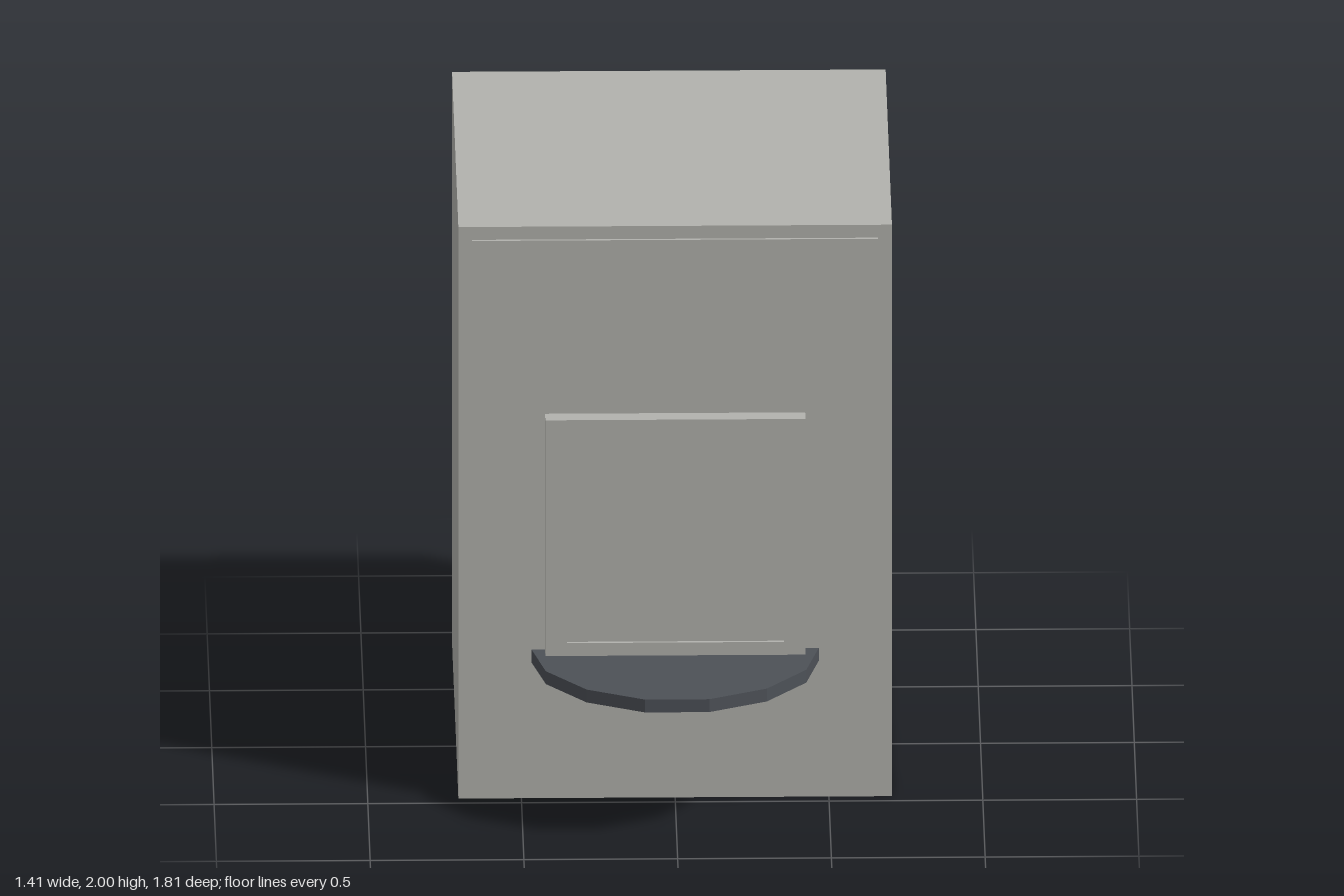
import * as THREE from 'three';

export function createModel() {
  const group = new THREE.Group();
  const stone = new THREE.MeshStandardMaterial({ name: 'pale grey', color: 0xb2b2ad, flatShading: true });
  const slate = new THREE.MeshStandardMaterial({ name: 'dark slate', color: 0x4d5157, flatShading: true });

  const add = (name, geometry, material, x, y, z) => {
    const mesh = new THREE.Mesh(geometry, material);
    mesh.name = name;
    mesh.position.set(x, y, z);
    group.add(mesh);
  };

  const front = 0.46;

  // Main block
  add('body', new THREE.BoxGeometry(1.41, 2, 1.365), stone, 0, 1, front - 1.365 / 2);

  // Thin plate along the top of the front
  add('topPanel', new THREE.BoxGeometry(1.32, 0.28, 0.01), stone, 0, 1.815, front + 0.005);

  // Raised square frame around a slightly sunken panel
  const outline = new THREE.Shape([
    new THREE.Vector2(-0.423, -0.425), new THREE.Vector2(0.423, -0.425),
    new THREE.Vector2(0.423, 0.425), new THREE.Vector2(-0.423, 0.425),
  ]);
  outline.holes.push(new THREE.Path([
    new THREE.Vector2(-0.353, -0.355), new THREE.Vector2(-0.353, 0.355),
    new THREE.Vector2(0.353, 0.355), new THREE.Vector2(0.353, -0.355),
  ]));
  add('windowFrame', new THREE.ExtrudeGeometry(outline, { depth: 0.058, bevelEnabled: false }),
    stone, 0, 0.92, front);
  add('windowPanel', new THREE.BoxGeometry(0.706, 0.71, 0.047), stone, 0, 0.92, front + 0.0235);

  // Half-round faceted shelf, its flat back set into the body
  add('shelf', new THREE.CylinderGeometry(0.47, 0.47, 0.045, 7, 1, false, -Math.PI / 2, Math.PI),
    slate, 0, 0.4975, 0.447);

  return group;
}
